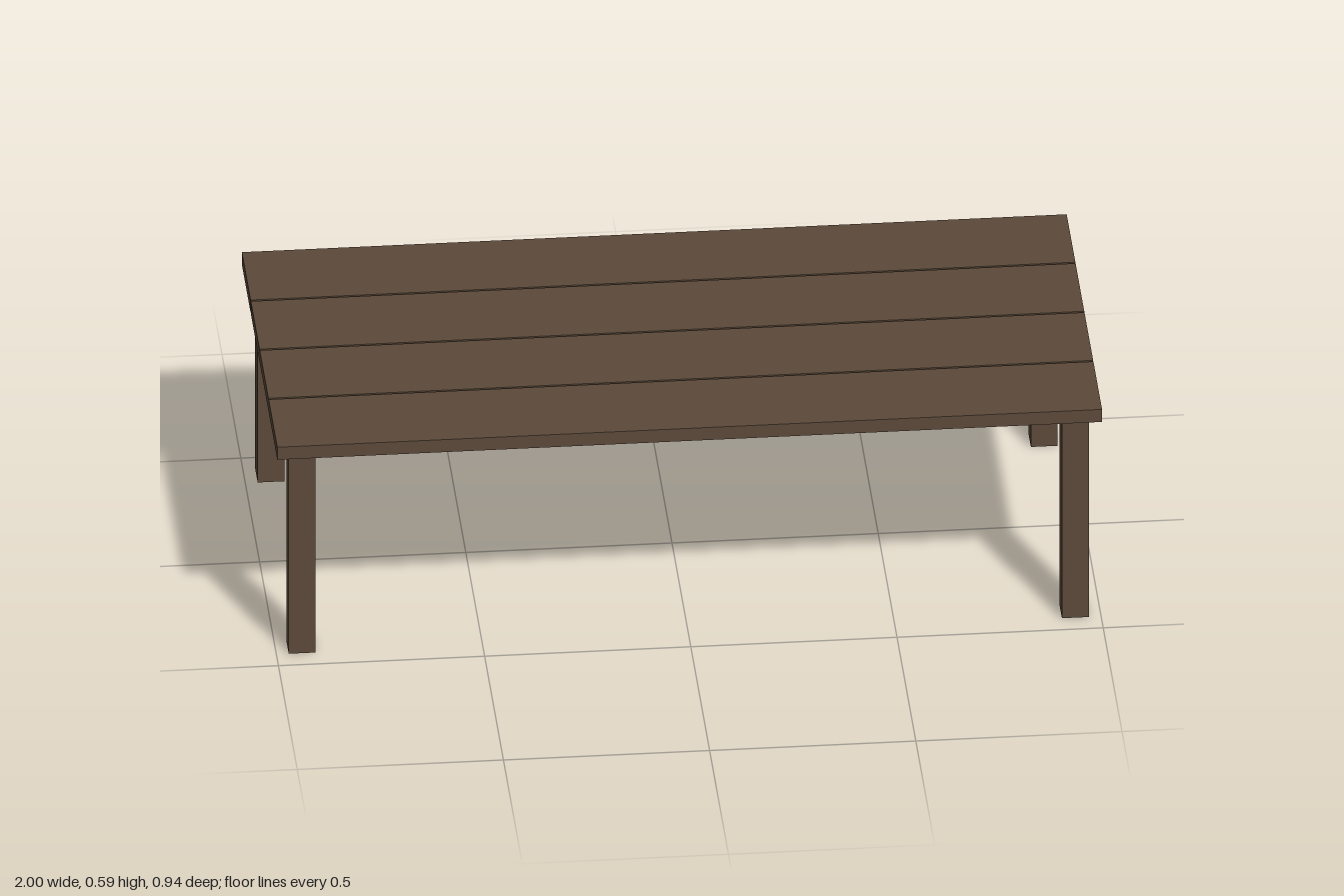
import * as THREE from 'three';

export function createModel() {
  const table = new THREE.Group();
  table.name = 'plankTable';

  const wood = new THREE.MeshStandardMaterial({ color: 0x5c4a3a });
  wood.name = 'darkWood';

  const topY = 0.593, underY = 0.558, battenY = 0.534;

  // Box spanning y0..y1, centred on x and z
  function addBox(name, width, depth, y0, y1, x, z) {
    const mesh = new THREE.Mesh(new THREE.BoxGeometry(width, y1 - y0, depth), wood);
    mesh.name = name;
    mesh.position.set(x, (y0 + y1) / 2, z);
    table.add(mesh);
  }

  // Four long planks with narrow gaps between them
  const gap = 0.006, plankDepth = (0.94 - 3 * gap) / 4;
  for (let i = 0; i < 4; i++) {
    addBox('topPlank', 2, plankDepth, underY, topY, 0, (i - 1.5) * (plankDepth + gap));
  }

  // Seven cross battens under the planks
  for (let i = 0; i < 7; i++) {
    addBox('crossBatten', 0.088, 0.8, battenY, underY, -0.861 + i * 0.2838, 0);
  }

  // Square legs at the corners
  for (const sx of [-1, 1]) {
    for (const sz of [-1, 1]) {
      addBox('leg', 0.065, 0.065, 0, underY, sx * 0.9375, sz * 0.4125);
    }
  }

  return table;
}
